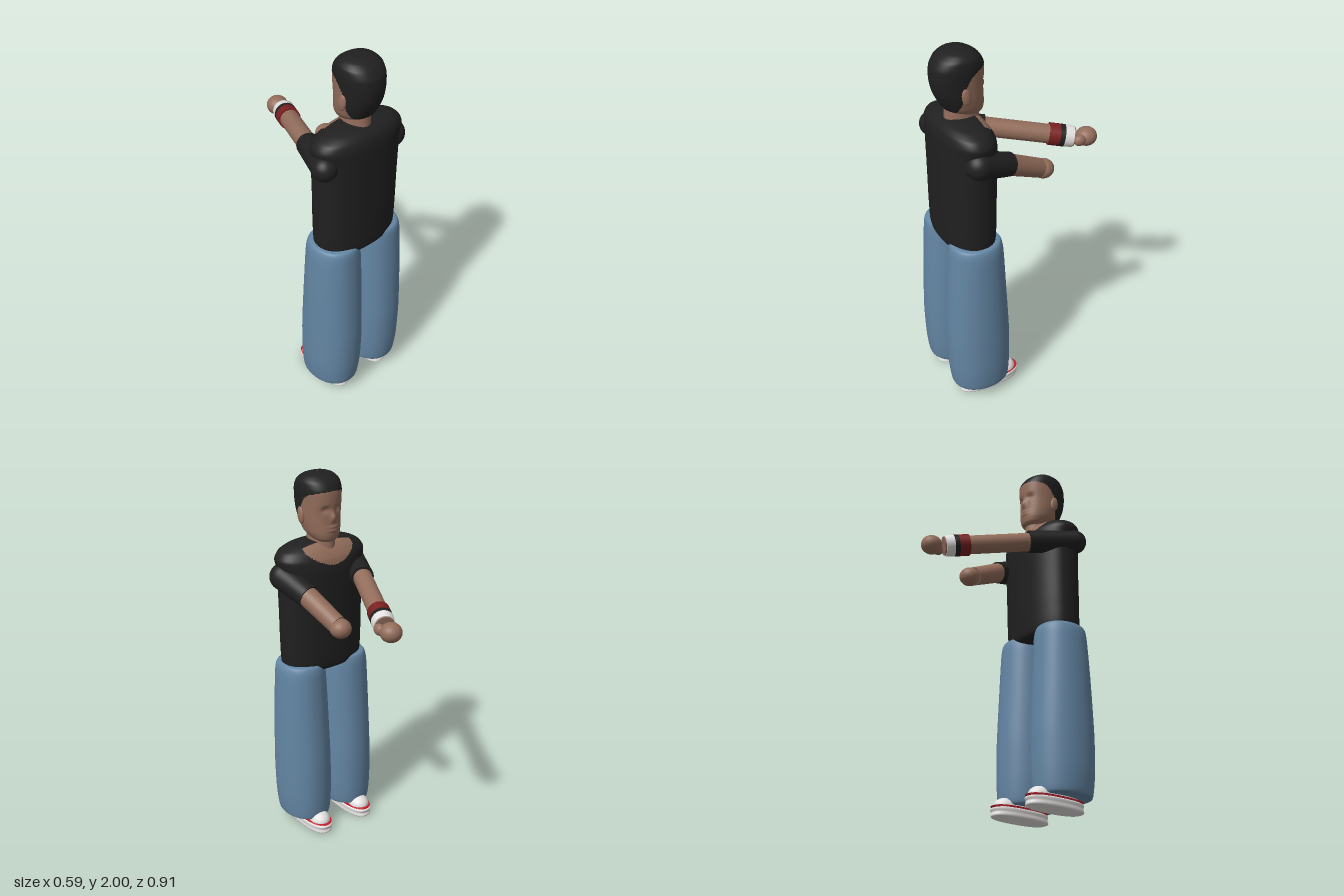
import * as THREE from 'three';

const mat = (name, color) => {
  const m = new THREE.MeshStandardMaterial({ color });
  m.name = name;
  return m;
};
const gauss = (v, w) => Math.exp(-(v * v) / (w * w));

// Closed body through rows of [y, half width, z min, z max]; pick(x, y, z) gives each face's material index
function loft(rows, { cx = 0, n = 64, steps = 60, power = 2, pick = () => 0, deform } = {}) {
  const curve = (f) => new THREE.CatmullRomCurve3(rows.map(f), false, 'catmullrom', 0.35);
  const a = curve((r) => new THREE.Vector3(r[0], r[1], 0));
  const b = curve((r) => new THREE.Vector3(r[2], r[3], 0));
  const pos = [];
  const bend = (v) => Math.sign(v) * Math.abs(v) ** (2 / power);
  for (let j = 0; j <= steps; j++) {
    const p = a.getPoint(j / steps), q = b.getPoint(j / steps);
    for (let i = 0; i < n; i++) {
      const t = (i / n) * Math.PI * 2;
      const v = new THREE.Vector3(cx + p.y * bend(Math.cos(t)), p.x,
        (q.x + q.y) / 2 + ((q.y - q.x) / 2) * bend(Math.sin(t)));
      if (deform) deform(v);
      pos.push(v.x, v.y, v.z);
    }
  }
  const faces = [[], []];
  for (let j = 0; j < steps; j++) {
    for (let i = 0; i < n; i++) {
      const k = (i + 1) % n;
      const p = j * n + i, q = j * n + k, r = p + n, s = q + n;
      for (const tri of [[p, r, q], [q, r, s]]) {
        const mean = (c) => tri.reduce((sum, v) => sum + pos[v * 3 + c], 0) / 3;
        faces[pick(mean(0), mean(1), mean(2))].push(...tri);
      }
    }
  }
  const g = new THREE.BufferGeometry();
  g.setAttribute('position', new THREE.Float32BufferAttribute(pos, 3));
  g.setIndex([...faces[0], ...faces[1]]);
  g.addGroup(0, faces[0].length, 0);
  g.addGroup(faces[0].length, faces[1].length, 1);
  g.computeVertexNormals();
  return g;
}

export function createModel() {
  const model = new THREE.Group();
  const skin = mat('skin', 0x936d5b), black = mat('black cloth', 0x202020), denim = mat('denim', 0x6486a4);
  const white = mat('white', 0xe4e2e0), darkRed = mat('dark red', 0x7a2020), red = mat('red trim', 0xc4202c);

  const add = (name, geometry, material, parent = model) => {
    const m = new THREE.Mesh(geometry, material);
    m.name = name;
    parent.add(m);
    return m;
  };
  const ball = (name, p, s, material, parent) => {
    const m = add(name, new THREE.SphereGeometry(1, 32, 20), material, parent);
    m.position.set(...p);
    m.scale.set(...s);
    return m;
  };
  // Tapered cylinder between two points
  const tube = (name, a, b, ra, rb, material, parent) => {
    const d = b.clone().sub(a);
    const m = add(name, new THREE.CylinderGeometry(rb, ra, d.length(), 32), material, parent);
    m.position.copy(a).add(b).multiplyScalar(0.5);
    m.quaternion.setFromUnitVectors(new THREE.Vector3(0, 1, 0), d.normalize());
    return m;
  };

  // Shirt with a scooped neckline on the chest (-z side)
  add('shirt', loft([
    [0.94, 0.001, 0.28, 0.282], [0.942, 0.16, 0.2, 0.385], [0.97, 0.23, 0.158, 0.42],
    [1.1, 0.24, 0.15, 0.425], [1.3, 0.243, 0.147, 0.425], [1.5, 0.25, 0.144, 0.425],
    [1.57, 0.262, 0.156, 0.422], [1.61, 0.235, 0.18, 0.41], [1.635, 0.18, 0.205, 0.385],
    [1.65, 0.1, 0.235, 0.34], [1.651, 0.001, 0.28, 0.282],
  ], {
    n: 128, steps: 110, power: 2.3,
    pick: (x, y, z) => (z < 0.23 && Math.abs(x) < 0.15 && y > 1.54 + 0.07 * (x / 0.15) ** 2 ? 1 : 0),
  }), [black, skin]);

  // Neck
  const neck = add('neck', new THREE.CylinderGeometry(0.06, 0.066, 0.14, 32), skin);
  neck.position.set(0, 1.67, 0.275);
  neck.scale.z = 1.4;

  // Head: hair is everything behind a hairline
  const hairline = [[1.69, 0.335], [1.74, 0.315], [1.83, 0.3], [1.88, 0.265], [1.9, 0.235], [1.92, 0.16], [2.1, 0]];
  const hairZ = (y) => {
    for (let i = 1; i < hairline.length; i++) {
      const [y0, z0] = hairline[i - 1], [y1, z1] = hairline[i];
      if (y < y1) return z0 + ((z1 - z0) * (y - y0)) / (y1 - y0);
    }
    return 0;
  };
  add('head', loft([
    [1.648, 0.001, 0.23, 0.232], [1.65, 0.04, 0.19, 0.27], [1.668, 0.066, 0.17, 0.315],
    [1.7, 0.086, 0.164, 0.37], [1.75, 0.098, 0.167, 0.4], [1.8, 0.104, 0.168, 0.42],
    [1.86, 0.108, 0.163, 0.43], [1.92, 0.111, 0.165, 0.425], [1.96, 0.105, 0.187, 0.4],
    [1.985, 0.08, 0.222, 0.365], [1.998, 0.04, 0.26, 0.325], [2, 0.001, 0.29, 0.292],
  ], {
    n: 112, steps: 110, power: 2.2,
    pick: (x, y, z) => (y > 1.69 && z > hairZ(y) ? 1 : 0),
    // Nose, eye sockets and lips
    deform: (v) => {
      if (v.z > 0.24) return;
      v.z -= 0.02 * gauss(v.x, 0.014) * gauss(v.y - 1.785, 0.025);
      v.z += 0.012 * gauss(Math.abs(v.x) - 0.038, 0.02) * gauss(v.y - 1.825, 0.016);
      v.z -= 0.007 * gauss(v.x, 0.028) * (gauss(v.y - 1.734, 0.007) + gauss(v.y - 1.716, 0.007));
    },
  }), [skin, black]);

  for (const side of [-1, 1]) {
    const label = side > 0 ? 'left' : 'right';
    ball(label + 'Ear', [side * 0.106, 1.785, 0.298], [0.013, 0.045, 0.024], skin).rotation.x = 0.15;

    // Baggy trouser leg
    add(label + 'TrouserLeg', loft([
      [0.065, 0.001, 0.28, 0.282], [0.067, 0.11, 0.14, 0.415], [0.085, 0.13, 0.12, 0.437],
      [0.2, 0.141, 0.114, 0.45], [0.4, 0.143, 0.115, 0.455], [0.7, 0.138, 0.132, 0.443],
      [0.92, 0.13, 0.145, 0.43], [0.975, 0.12, 0.155, 0.422], [0.99, 0.1, 0.175, 0.4],
      [0.992, 0.001, 0.28, 0.282],
    ], { cx: side * 0.139, power: 2.15 }), denim);

    // Shoe: sole, red trim, upper and toe cap
    const shoe = new THREE.Group();
    shoe.name = label + 'Shoe';
    model.add(shoe);
    const slab = (name, y0, y1, grow, material) => add(name, loft([
      [y0, 0.001, 0.224, 0.226], [y0 + 0.001, 0.064 + grow, 0.062 - grow, 0.39 + grow],
      [(y0 + y1) / 2, 0.068 + grow, 0.057 - grow, 0.393 + grow],
      [y1 - 0.001, 0.066 + grow, 0.06 - grow, 0.39 + grow], [y1, 0.001, 0.224, 0.226],
    ], { cx: side * 0.138, power: 2.5, n: 48, steps: 24 }), material, shoe);
    slab('sole', 0, 0.05, 0, white);
    slab('trim', 0.049, 0.06, -0.002, red);
    ball('upper', [side * 0.138, 0.058, 0.24], [0.06, 0.045, 0.15], white, shoe);
    ball('toeCap', [side * 0.138, 0.056, 0.13], [0.056, 0.05, 0.064], white, shoe);
  }

  // Arms reaching forward: shoulder, sleeve, forearm and rounded hand
  const arms = [
    { name: 'rightArm', s: [-0.235, 1.49, 0.325], e: [-0.128, 1.458, 0.085], w: [0.064, 1.372, -0.335],
      h: [0.08, 1.365, -0.4], rs: 0.064, re: 0.06, rf: 0.05, rw: 0.05 },
    { name: 'leftArm', s: [0.223, 1.478, 0.3], e: [0.193, 1.415, 0.12], w: [0.156, 1.315, -0.07],
      h: [0.154, 1.303, -0.097], rs: 0.072, re: 0.06, rf: 0.055, rw: 0.05 },
  ];
  for (const { name, s, e, w, h, rs, re, rf, rw } of arms) {
    const arm = new THREE.Group();
    arm.name = name;
    model.add(arm);
    const [S, E, W] = [s, e, w].map((p) => new THREE.Vector3(...p));
    ball('shoulder', s, [rs, rs, rs], black, arm);
    tube('sleeve', S, E, rs, re, black, arm);
    tube('forearm', E.clone().lerp(S, 0.1), W, rf, rw, skin, arm);
    ball('hand', h, [0.056, 0.05, 0.056], skin, arm);
    if (name === 'rightArm') {
      // Wristbands and thumb
      const at = (t) => E.clone().lerp(W, t);
      tube('redBand', at(0.71), at(0.83), 0.058, 0.058, darkRed, arm);
      tube('blackBand', at(0.83), at(0.885), 0.058, 0.058, black, arm);
      tube('whiteBand', at(0.885), at(0.985), 0.058, 0.055, white, arm);
      ball('thumb', [0.106, 1.368, -0.345], [0.026, 0.03, 0.035], skin, arm);
    }
  }
  return model;
}
